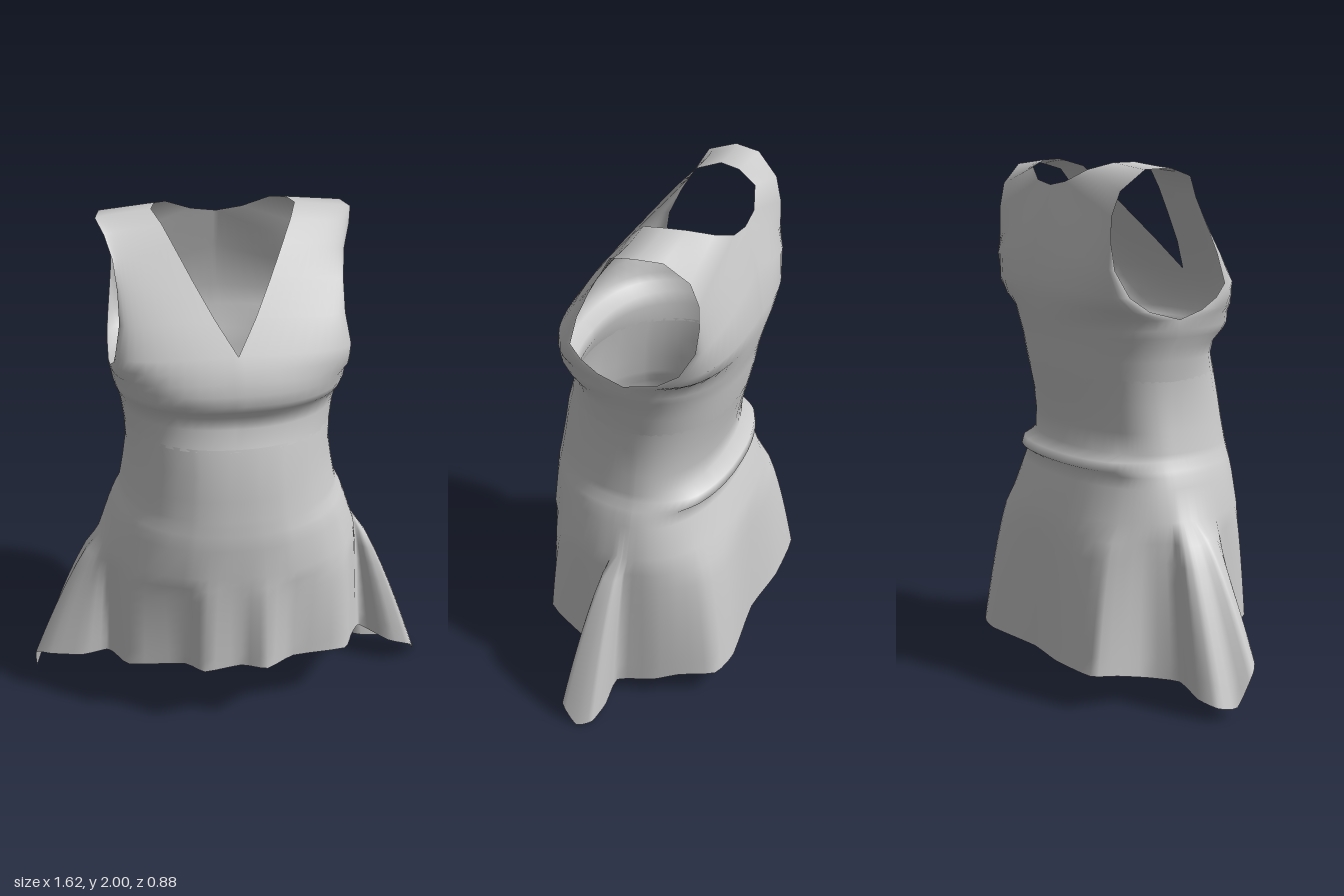
import * as THREE from 'three';
import { mergeGeometries, mergeVertices } from 'three/addons/utils/BufferGeometryUtils.js';

const ZC = -0.04;       // depth of the side seams
const ROUND = 0.9;      // outline exponent: 1 is an ellipse, lower is boxier
const { lerp, smoothstep } = THREE.MathUtils;
const pow = (v, p = ROUND) => Math.sign(v) * Math.abs(v) ** p;

// Surface through rows of points, all rows of equal length
function loft(rows) {
  const n = rows[0].length, index = [];
  for (let j = 0; j < rows.length - 1; j++) {
    for (let i = 0; i < n - 1; i++) {
      const a = j * n + i, b = a + 1, c = b + n, d = a + n;
      index.push(a, b, c, a, c, d);
    }
  }
  const g = new THREE.BufferGeometry();
  g.setAttribute('position', new THREE.Float32BufferAttribute(rows.flat(2), 3));
  g.setIndex(index);
  return g;
}

function smooth(g) {
  const merged = mergeVertices(g, 1e-4);
  merged.computeVertexNormals();
  return merged;
}

// Hem outline from centre front round the left side: angle, x, y, z
const hem = [
  [0, 0, 0.265, 0.40], [9, 0.1, 0.265, 0.437], [23, 0.22, 0.25, 0.345], [54, 0.44, 0.235, 0.305],
  [67, 0.5, 0.19, 0.16], [78, 0.53, 0.18, 0.1], [86, 0.57, 0.14, 0.025], [88, 0.68, 0.1, 0.095],
  [89.2, 0.78, 0.07, 0.1], [90, 0.805, 0, 0.03], [90.7, 0.78, 0.02, -0.03], [92, 0.68, 0.03, -0.045],
  [95, 0.56, 0.05, -0.04], [108, 0.52, 0.07, -0.18], [123, 0.48, 0.1, -0.28], [138, 0.42, 0.105, -0.41],
  [154, 0.29, 0.105, -0.44], [180, 0, 0.11, -0.41],
  [205, -0.22, 0.12, -0.44], [224, -0.45, 0.13, -0.43], [236, -0.48, 0.12, -0.33], [247, -0.49, 0.09, -0.2],
  [258, -0.57, 0.08, -0.11], [264, -0.73, 0.07, -0.14], [267, -0.8, 0.05, -0.1], [270, -0.81, 0.04, -0.02],
  [272, -0.81, 0.16, 0.05], [275, -0.75, 0.18, 0.1], [281, -0.62, 0.19, 0.14], [288, -0.52, 0.2, 0.13],
  [297, -0.49, 0.2, 0.16], [308, -0.44, 0.235, 0.29], [337, -0.22, 0.25, 0.34], [348, -0.15, 0.265, 0.425],
];

// Rows from hip to waist: y, half width, front z, back z, depth of the back fold
const waist = [
  [0.68, 0.52, 0.405, -0.37, 0], [0.8, 0.48, 0.4, -0.325, 0], [0.84, 0.465, 0.396, -0.305, 0.005],
  [0.86, 0.455, 0.393, -0.295, 0.045], [0.895, 0.437, 0.388, -0.285, 0.05], [0.92, 0.43, 0.384, -0.28, 0],
  [1.0, 0.415, 0.37, -0.285, 0], [1.1, 0.4, 0.355, -0.305, 0], [1.2, 0.405, 0.325, -0.33, 0],
];

// Rows from waist to the foot of the armholes: y, half width, front z, back z
const bust = [
  [1.19, 0.4045, 0.328, -0.3275], [1.27, 0.415, 0.295, -0.345], [1.32, 0.425, 0.297, -0.352],
  [1.36, 0.44, 0.335, -0.36], [1.39, 0.448, 0.35, -0.368], [1.43, 0.455, 0.347, -0.378],
];

// Half bodice from the bust up over the shoulder and down the back:
// neckline (or centre) x, y, z and armhole x, y, z
const strap = [
  [0, 1.48, 0.335, 0.453, 1.46, 0.06],
  [0, 1.525, 0.312, 0.445, 1.5, 0.13], [0, 1.565, 0.29, 0.44, 1.55, 0.172],
  [0.075, 1.68, 0.21, 0.42, 1.66, 0.15], [0.145, 1.8, 0.115, 0.42, 1.77, 0.1],
  [0.2, 1.9, 0.035, 0.43, 1.87, 0.045], [0.24, 1.97, -0.03, 0.455, 1.95, 0],
  [0.27, 1.998, -0.12, 0.48, 1.98, -0.1], [0.25, 1.995, -0.2, 0.46, 1.975, -0.2],
  [0.2, 1.97, -0.28, 0.43, 1.9, -0.285], [0.1, 1.925, -0.315, 0.415, 1.81, -0.312],
  [0, 1.91, -0.32, 0.415, 1.72, -0.315], [0, 1.75, -0.375, 0.425, 1.62, -0.305],
  [0, 1.57, -0.4, 0.44, 1.52, -0.25], [0, 1.49, -0.39, 0.45, 1.465, -0.17],
];

// Waist and flared skirt in one closed loop
function skirtGeometry() {
  const points = hem.map(([, x, y, z]) => new THREE.Vector3(x, y, z));
  const curve = new THREE.CatmullRomCurve3(points, true, 'catmullrom', 0.25);
  const count = hem.length * 3, columns = [];
  for (let i = 0; i <= count; i++) {
    const k = Math.floor(i / 3) % hem.length;
    const next = k + 1 < hem.length ? hem[k + 1][0] : 360;
    const angle = lerp(hem[k][0], next, (i % 3) / 3) * Math.PI / 180;
    columns.push({ angle, hem: curve.getPoint((i % count) / count) });
  }
  const ring = ([y, w, front, back, fold]) => columns.map(({ angle }) => {
    const c = Math.cos(angle);
    const z = c > 0 ? pow(c) * (front - ZC) : pow(c) * (ZC - back) - fold * Math.min(1, 2 * c * c);
    return [w * pow(Math.sin(angle)), y, ZC + z];
  });
  const hip = ring(waist[0]), rows = [];
  for (let j = 8; j > 0; j--) {
    const t = j / 8, out = t ** 0.75, deep = t ** 0.6;
    rows.push(columns.map(({ hem: h }, i) => [
      lerp(hip[i][0], h.x, out), lerp(hip[i][1], h.y, t), lerp(hip[i][2], h.z, deep),
    ]));
  }
  return smooth(loft([...rows, ...waist.map(ring)]));
}

// Both halves of the bodice with bust, V neck and armholes
function bodiceGeometry() {
  const front = bust.map(([y, w, zf]) => [0, y, zf, w, y, ZC]);
  const back = bust.map(([y, w, , zb]) => [0, y, zb, w, y, ZC]).reverse();
  const halves = [1, -1].map((side) => loft([...front, ...strap, ...back].map(([ix, iy, iz, ox, oy, oz]) => {
    // The bust is boxier than the waist and back
    const p = ROUND - 0.12 * smoothstep(iy, 1.22, 1.42) * smoothstep(iz, -0.3, 0.1);
    const row = [];
    for (let i = 0; i <= 16; i++) {
      const a = smoothstep(i / 16, 0, 1) * Math.PI / 2;
      const s = pow(Math.sin(a), p), c = i === 16 ? 0 : pow(Math.cos(a), p);
      row.push([side * lerp(ix, ox, s), lerp(iy, oy, s), lerp(oz, iz, c)]);
    }
    return side > 0 ? row : row.reverse();
  })));
  return smooth(mergeGeometries(halves));
}

export function createModel() {
  const group = new THREE.Group();
  group.name = 'sleevelessTunic';
  const cloth = new THREE.MeshStandardMaterial({ color: 0xcccccc, side: THREE.DoubleSide });
  const parts = { waistAndSkirt: skirtGeometry(), bodice: bodiceGeometry() };
  for (const [name, geometry] of Object.entries(parts)) {
    const mesh = new THREE.Mesh(geometry, cloth);
    mesh.name = name;
    group.add(mesh);
  }
  return group;
}
